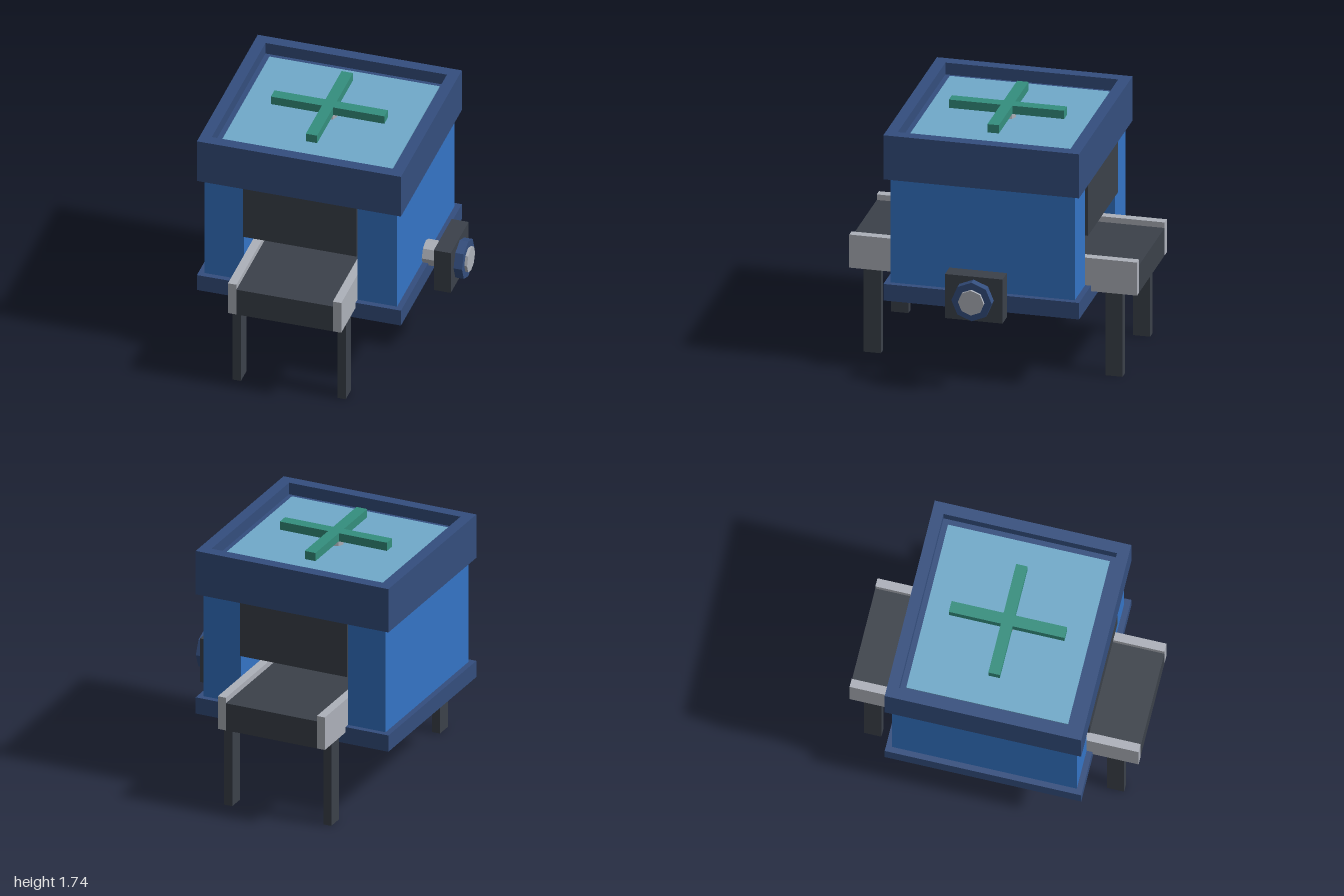
import * as THREE from 'three';

const mat = (name, color, flatShading = false) => {
  const m = new THREE.MeshStandardMaterial({ color, flatShading });
  m.name = name;
  return m;
};

export function createModel() {
  const navy = mat('navy', 0x344e7e, true);
  const blue = mat('blue', 0x3474c6);
  const charcoal = mat('charcoal', 0x3b414a);
  const steel = mat('steel', 0xadb1ba, true);
  const glass = mat('paleBlue', 0x70aaca);
  const green = mat('green', 0x348f7e);
  const orange = mat('orange', 0xc97f3a, true);
  const red = mat('red', 0xc2403a, true);

  const model = new THREE.Group();
  model.name = 'conveyorMachine';
  const CX = -0.14; // centre line of the housing and belt

  const add = (name, geometry, material, x, y, z) => {
    const mesh = new THREE.Mesh(geometry, material);
    mesh.name = name;
    mesh.position.set(x, y, z);
    model.add(mesh);
    return mesh;
  };
  // Box given by its limits on each axis
  const box = (name, material, [x0, x1], [y0, y1], [z0, z1]) =>
    add(name, new THREE.BoxGeometry(x1 - x0, y1 - y0, z1 - z0), material,
      (x0 + x1) / 2, (y0 + y1) / 2, (z0 + z1) / 2);
  // Prism lying along x
  const axle = (name, material, radius, x0, x1) => {
    const g = new THREE.CylinderGeometry(radius, radius, x1 - x0, 8).rotateZ(-Math.PI / 2);
    return add(name, g, material, (x0 + x1) / 2, 0.68, 0);
  };

  // Housing: base, side walls and the hood over the tunnel
  box('base', navy, [-0.86, 0.58], [0.52, 0.64], [-0.68, 0.68]);
  box('rightWall', blue, [-0.82, -0.54], [0.64, 1.4], [-0.64, 0.64]);
  box('leftWall', blue, [0.26, 0.54], [0.64, 1.4], [-0.64, 0.64]);
  box('tunnelHood', charcoal, [-0.54, 0.26], [1.0, 1.4], [-0.66, 0.66]);

  // Lid: raised rim around a recessed floor with a pale panel
  const rim = new THREE.Shape();
  rim.moveTo(-0.72, -0.68).lineTo(0.72, -0.68).lineTo(0.72, 0.68).lineTo(-0.72, 0.68).closePath();
  const hole = new THREE.Path();
  hole.moveTo(-0.64, -0.6).lineTo(-0.64, 0.6).lineTo(0.64, 0.6).lineTo(0.64, -0.6).closePath();
  rim.holes.push(hole);
  const rimGeometry = new THREE.ExtrudeGeometry(rim, { depth: 0.32, bevelEnabled: false });
  add('lidRim', rimGeometry.rotateX(-Math.PI / 2), navy, CX, 1.4, 0);
  box('lidFloor', navy, [-0.78, 0.5], [1.4, 1.635], [-0.6, 0.6]);
  box('lidPanel', glass, [-0.74, 0.46], [1.635, 1.644], [-0.56, 0.56]);

  // Fan: crossed blades on a short hub
  add('fanHub', new THREE.CylinderGeometry(0.056, 0.056, 0.08, 8), steel, CX, 1.68, 0);
  box('fanBladeAcross', green, [-0.54, 0.26], [1.68, 1.74], [-0.04, 0.04]);
  for (const s of [-1, 1]) {
    add('fanBlade', new THREE.BoxGeometry(0.08, 0.06, 0.36), green, CX, 1.71, s * 0.22);
  }

  // Conveyor: belt, side rails and legs
  box('belt', charcoal, [-0.48, 0.2], [0.6, 0.8], [-1, 1]);
  for (const s of [-1, 1]) {
    const x = CX + s * 0.37;
    add('rail', new THREE.BoxGeometry(0.06, 0.24, 2), steel, x, 0.72, 0);
    for (const t of [-1, 1]) {
      add('leg', new THREE.BoxGeometry(0.06, 0.6, 0.12), charcoal, x, 0.3, t * 0.84);
    }
  }

  // Hexagonal pieces inside the tunnel
  const hex = new THREE.CylinderGeometry(0.07, 0.07, 0.1, 6).rotateY(Math.PI / 2);
  add('orangePiece', hex, orange, -0.26, 0.89, 0);
  add('redPiece', hex, red, -0.02, 0.89, 0);

  // Side drive: shaft, block and collar
  axle('driveShaft', steel, 0.09, 0.54, 0.86);
  box('driveBlock', charcoal, [0.66, 0.78], [0.52, 0.84], [-0.2, 0.2]);
  axle('driveCollar', navy, 0.14, 0.78, 0.84);

  return model;
}
